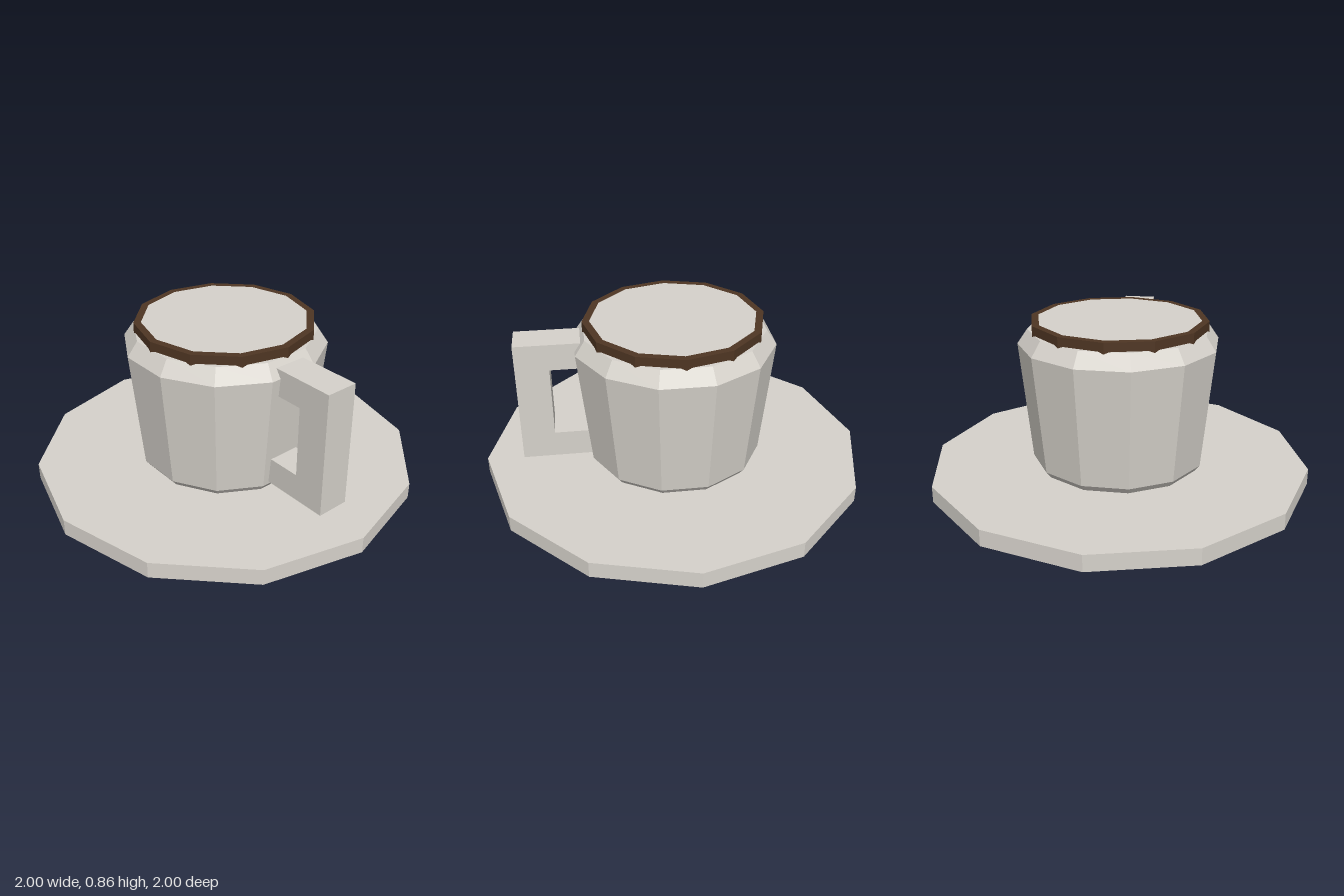
import * as THREE from 'three';

const SIDES = 12;

export function createModel() {
  const model = new THREE.Group();
  model.name = 'cupAndSaucer';

  const china = new THREE.MeshStandardMaterial({ color: 0xd6d2cb, flatShading: true });
  china.name = 'pale china';
  const brown = new THREE.MeshStandardMaterial({ color: 0x4f3623, flatShading: true });
  brown.name = 'dark brown';

  const add = (name, geometry, material) => {
    const mesh = new THREE.Mesh(geometry, material);
    mesh.name = name;
    model.add(mesh);
    return mesh;
  };
  // Faceted turned part from a bottom-to-top profile of [radius, height]
  const turned = (profile) =>
    new THREE.LatheGeometry(profile.map(([r, y]) => new THREE.Vector2(r, y)), SIDES);

  // Saucer: flat twelve-sided plate
  add('saucer', turned([[0, 0], [1, 0], [1, 0.085], [0, 0.085]]), china);

  // Cup body: tapered, with bevels at foot and shoulder; flats face the axes
  const k = 1 / Math.cos(Math.PI / SIDES);
  const body = turned([
    [0, 0.08], [0.41 * k, 0.08], [0.44 * k, 0.12],
    [0.5 * k, 0.74], [0.45 * k, 0.815], [0, 0.815],
  ]);
  body.rotateY(Math.PI / SIDES);
  add('cupBody', body, china);

  // Rim band, turned half a side from the body so its corners overhang
  add('rimBand', turned([[0.35, 0.803], [0.457, 0.803], [0.457, 0.86], [0.42, 0.86]]), brown);

  // Flat top inside the rim
  const top = new THREE.CircleGeometry(0.42, SIDES);
  top.rotateX(-Math.PI / 2);
  top.translate(0, 0.86, 0);
  add('cupTop', top, china);

  // Square C-shaped handle on the +x side
  const outline = [
    [0.41, 0.135], [0.8, 0.135], [0.8, 0.785], [0.43, 0.785],
    [0.43, 0.645], [0.63, 0.645], [0.63, 0.275], [0.41, 0.275],
  ];
  const shape = new THREE.Shape(outline.map(([x, y]) => new THREE.Vector2(x, y)));
  const handle = new THREE.ExtrudeGeometry(shape, { depth: 0.17, bevelEnabled: false });
  handle.translate(0, 0, -0.085);
  add('handle', handle, china);

  return model;
}
